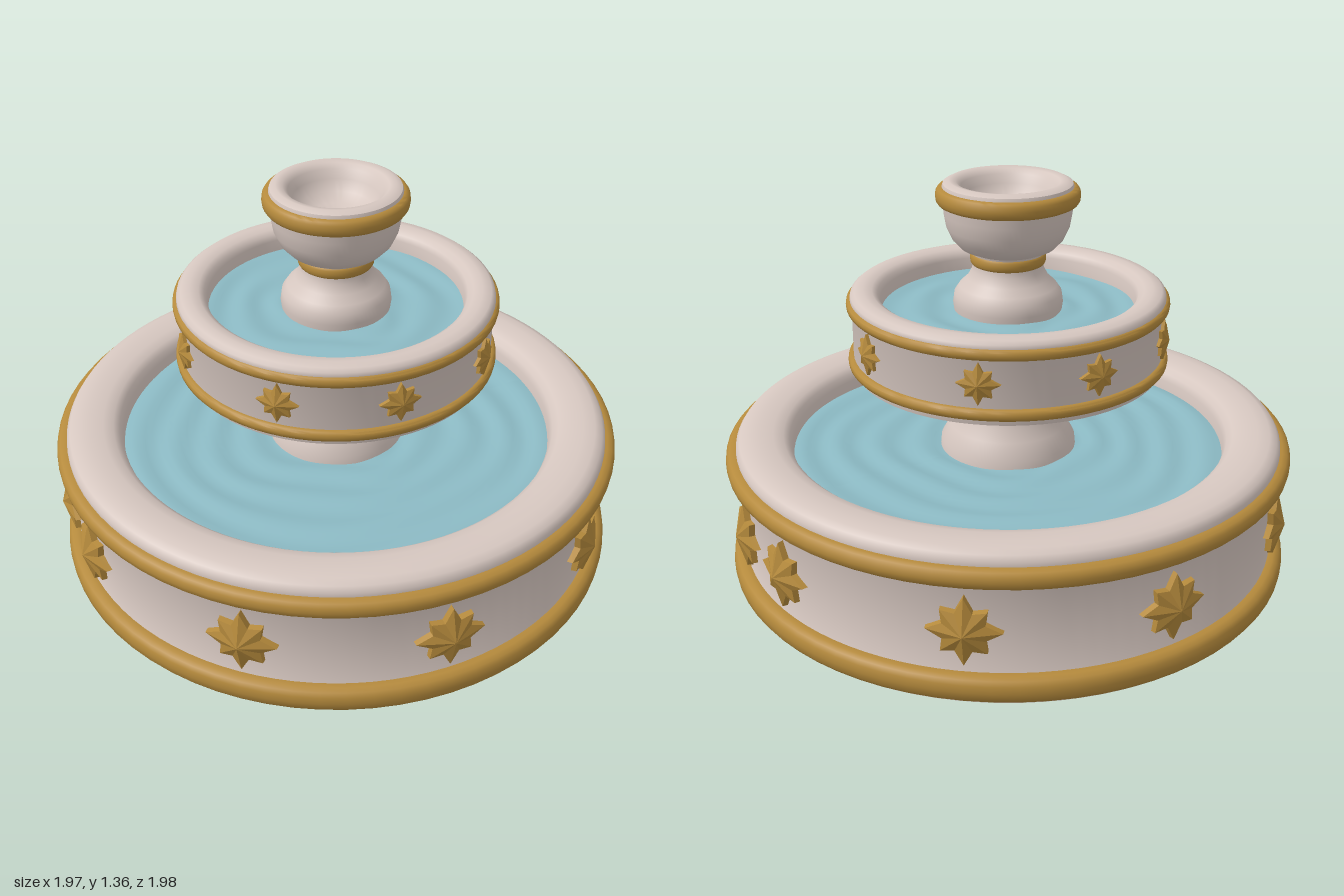
import * as THREE from 'three';
import { toCreasedNormals } from 'three/addons/utils/BufferGeometryUtils.js';

const marble = new THREE.MeshStandardMaterial({ color: 0xd6c7c0 });
marble.name = 'marble';
const gold = new THREE.MeshStandardMaterial({ color: 0xb58a3c });
gold.name = 'gold';
const water = new THREE.MeshStandardMaterial({ color: 0x8cbac4 });
water.name = 'water';

function mesh(name, geometry, material) {
  const m = new THREE.Mesh(geometry, material);
  m.name = name;
  return m;
}

// Turned part: profile of [radius, height], running bottom, outside, top, inside
function turned(name, profile, material, segments = 72) {
  const points = profile.map(([r, y]) => new THREE.Vector2(r, y));
  return mesh(name, toCreasedNormals(new THREE.LatheGeometry(points, segments), 0.7), material);
}

// Rounded gold band around a wall: centre radius, centre height, half sizes
function band(name, radius, y, halfWidth, halfHeight) {
  const profile = [];
  for (let i = 0; i <= 14; i++) {
    const a = -Math.PI + (i / 14) * Math.PI * 2;
    const c = Math.cos(a), s = Math.sin(a);
    profile.push([
      radius + halfWidth * Math.sign(c) * Math.abs(c) ** 0.8,
      y + halfHeight * Math.sign(s) * Math.abs(s) ** 0.8,
    ]);
  }
  return turned(name, profile, gold);
}

// Rippled disc of water
function pool(name, radius, y, height) {
  const g = new THREE.RingGeometry(0.02, radius, 72, 30);
  g.rotateX(-Math.PI / 2);
  const p = g.attributes.position;
  for (let i = 0; i < p.count; i++) {
    const x = p.getX(i), z = p.getZ(i);
    const r = Math.hypot(x, z), a = Math.atan2(z, x);
    const wobble = 0.8 * Math.sin(3 * a + 5 * r) + 0.5 * Math.sin(5 * a - 8 * r);
    p.setY(i, y + height * Math.sin(r * 46 + wobble));
  }
  g.computeVertexNormals();
  return mesh(name, g, water);
}

// Eight-pointed star with a raised centre, wrapped onto a wall of the given radius
function starGeometry(size, wall, depth) {
  const front = [], back = [], n = 16;
  for (let i = 0; i < n; i++) {
    const a = (i / n) * Math.PI * 2;
    const r = size * (i % 2 ? 0.6 : i % 4 ? 0.86 : 1);
    const x = r * Math.cos(a), y = r * Math.sin(a);
    front.push([x, y, depth * (i % 2 ? 0.42 : 0.38)]);
    back.push([x * 1.04, y * 1.04, -0.01]);
  }
  const pos = [];
  const add = (...corners) => {
    for (const [x, y, z] of corners) {
      const a = x / wall;
      pos.push((wall + z) * Math.sin(a), y, (wall + z) * Math.cos(a));
    }
  };
  for (let i = 0; i < n; i++) {
    const j = (i + 1) % n;
    add([0, 0, depth], front[i], front[j]);
    add(front[i], back[i], front[j]);
    add(front[j], back[i], back[j]);
  }
  const g = new THREE.BufferGeometry();
  g.setAttribute('position', new THREE.Float32BufferAttribute(pos, 3));
  g.computeVertexNormals();
  return g;
}

function starRing(name, degrees, y, size, wall, depth) {
  const group = new THREE.Group();
  group.name = name;
  const g = starGeometry(size, wall, depth);
  for (const d of degrees) {
    const star = mesh('star', g, gold);
    star.position.y = y;
    star.rotation.y = THREE.MathUtils.degToRad(d);
    group.add(star);
  }
  return group;
}

export function createModel() {
  const fountain = new THREE.Group();
  fountain.name = 'fountain';

  // Lower basin
  fountain.add(
    turned('lowerBasin', [
      [0, 0], [0.962, 0], [0.962, 0.03], [0.938, 0.06], [0.938, 0.42], [0.95, 0.45],
      [0.947, 0.475], [0.935, 0.493], [0.91, 0.503], [0.87, 0.506], [0.82, 0.502],
      [0.785, 0.492], [0.765, 0.475], [0.755, 0.45], [0.75, 0.38], [0, 0.38],
    ], marble, 96),
    band('lowerBasinFootBand', 0.945, 0.046, 0.04, 0.045),
    band('lowerBasinRimBand', 0.945, 0.428, 0.04, 0.034),
    starRing('lowerStars', [0, 40, 81, 99, 140, 180, 220, 261, 279, 320], 0.24, 0.116, 0.938, 0.05),
    pool('lowerWater', 0.755, 0.415, 0.005),
  );

  // Column between the basins
  fountain.add(turned('column', [
    [0.24, 0.39], [0.235, 0.44], [0.205, 0.495], [0.18, 0.535], [0.17, 0.572],
    [0.215, 0.575], [0.228, 0.588], [0.23, 0.61], [0.22, 0.65], [0.208, 0.69], [0.205, 0.73],
  ], marble));

  // Upper basin
  fountain.add(
    turned('upperBasin', [
      [0, 0.712], [0.525, 0.712], [0.53, 0.74], [0.53, 0.95], [0.537, 0.965], [0.533, 0.982],
      [0.52, 0.992], [0.49, 0.997], [0.46, 0.992], [0.442, 0.98], [0.433, 0.96],
      [0.43, 0.88], [0, 0.88],
    ], marble),
    band('upperBasinFootBand', 0.527, 0.75, 0.022, 0.02),
    band('upperBasinRimBand', 0.527, 0.95, 0.022, 0.02),
    starRing('upperStars', [0, 42, 90, 138, 180, 222, 270, 318], 0.853, 0.07, 0.53, 0.028),
    pool('upperWater', 0.434, 0.915, 0.004),
  );

  // Top bowl on its pedestal
  fountain.add(
    turned('topBowl', [
      [0.18, 0.89], [0.187, 0.94], [0.182, 0.975], [0.165, 1.0], [0.138, 1.025], [0.122, 1.055],
      [0.115, 1.09], [0.125, 1.12], [0.16, 1.135], [0.188, 1.165], [0.206, 1.205],
      [0.214, 1.25], [0.218, 1.3], [0.222, 1.33], [0.215, 1.35], [0.195, 1.36],
      [0.172, 1.355], [0.156, 1.34], [0.142, 1.31], [0.12, 1.275], [0.08, 1.252], [0, 1.245],
    ], marble),
    band('pedestalBand', 0.112, 1.095, 0.016, 0.022),
    band('topBowlBand', 0.215, 1.31, 0.026, 0.03),
  );

  return fountain;
}
